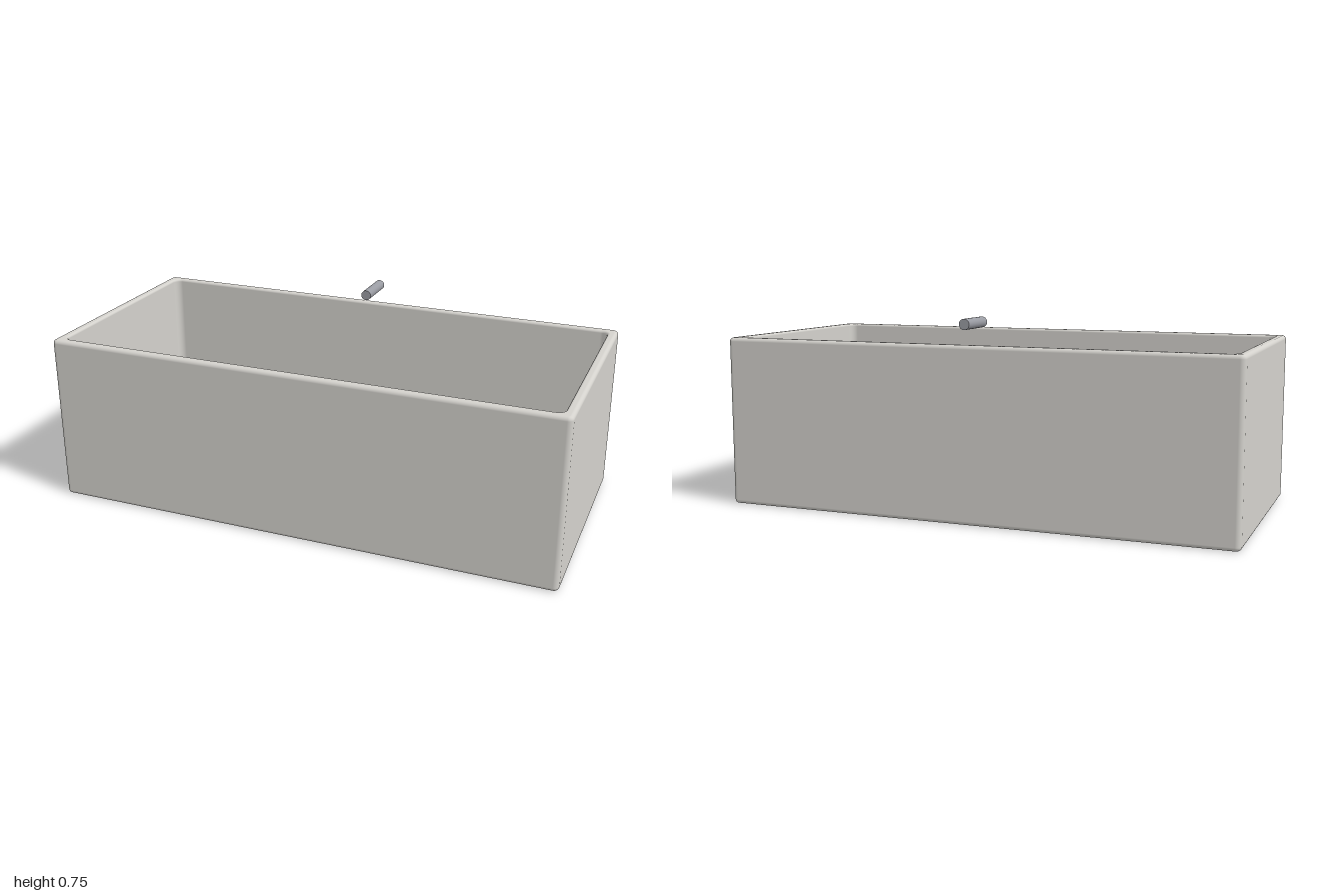
import * as THREE from 'three';

const STEPS = 5; // segments per rounded edge

// Profile of a rounded arc: fn maps an angle 0..90 degrees to one profile entry
const arc = (fn) => Array.from({ length: STEPS + 1 }, (_, i) => {
  const a = (i / STEPS) * Math.PI / 2;
  return fn(Math.cos(a), Math.sin(a));
});

// Lofts rounded rectangles; entry = [corner centre x, corner centre z, radius, y, normal out, normal y]
function loftRoundedRects(profile) {
  const pos = [], nor = [], index = [];
  const ring = 4 * (STEPS + 1);
  for (const [cx, cz, r, y, nOut, nY] of profile) {
    for (let q = 0; q < 4; q++) {
      const sx = q === 0 || q === 3 ? 1 : -1, sz = q < 2 ? 1 : -1;
      for (let i = 0; i <= STEPS; i++) {
        const t = (q + i / STEPS) * Math.PI / 2;
        const dx = Math.cos(t), dz = Math.sin(t);
        pos.push(sx * cx + r * dx, y, sz * cz + r * dz);
        nor.push(dx * nOut, nY, dz * nOut);
      }
    }
  }
  for (let p = 0; p < profile.length - 1; p++) {
    for (let i = 0; i < ring; i++) {
      const a = p * ring + i, b = p * ring + (i + 1) % ring;
      index.push(a, a + ring, b, b, a + ring, b + ring);
    }
  }
  const g = new THREE.BufferGeometry();
  g.setAttribute('position', new THREE.Float32BufferAttribute(pos, 3));
  g.setAttribute('normal', new THREE.Float32BufferAttribute(nor, 3));
  g.setIndex(index);
  return g;
}

export function createModel() {
  const group = new THREE.Group();
  const W = 1, D = 0.467, H = 0.657, wall = 0.036;
  const R = 0.02, f = 0.015;          // outer corner radius, outer edge rounding
  const ri = 0.03, fr = 0.01, fb = 0.02; // inner corner, rim and floor roundings
  const ox = W - R, oz = D - R;
  const ix = W - wall - ri, iz = D - wall - ri;

  // Open basin: underside, outer walls, rim, inner walls, inner floor
  const profile = [
    [0, 0, 0, 0, 0, -1],
    ...arc((c, s) => [ox, oz, R - f + f * s, f - f * c, s, -c]),
    ...arc((c, s) => [ox, oz, R - f + f * c, H - f + f * s, c, s]),
    ...arc((c, s) => [ix, iz, ri + fr - fr * s, H - fr + fr * c, -s, c]),
    ...arc((c, s) => [ix, iz, ri - fb + fb * c, wall + fb - fb * s, -c, s]),
    [0, 0, 0, wall, 0, 1],
  ];
  const basin = new THREE.Mesh(
    loftRoundedRects(profile),
    new THREE.MeshStandardMaterial({ color: 0xd4d2cd })
  );
  basin.name = 'basin';
  group.add(basin);

  // Spout: short rod floating above the back rim
  const spout = new THREE.Mesh(
    new THREE.CylinderGeometry(0.02, 0.02, 0.164, 40),
    new THREE.MeshStandardMaterial({ color: 0x9a9ca3 })
  );
  spout.name = 'spout';
  spout.rotation.x = Math.PI / 2;
  spout.position.set(0, 0.731, -0.377);
  group.add(spout);

  return group;
}
